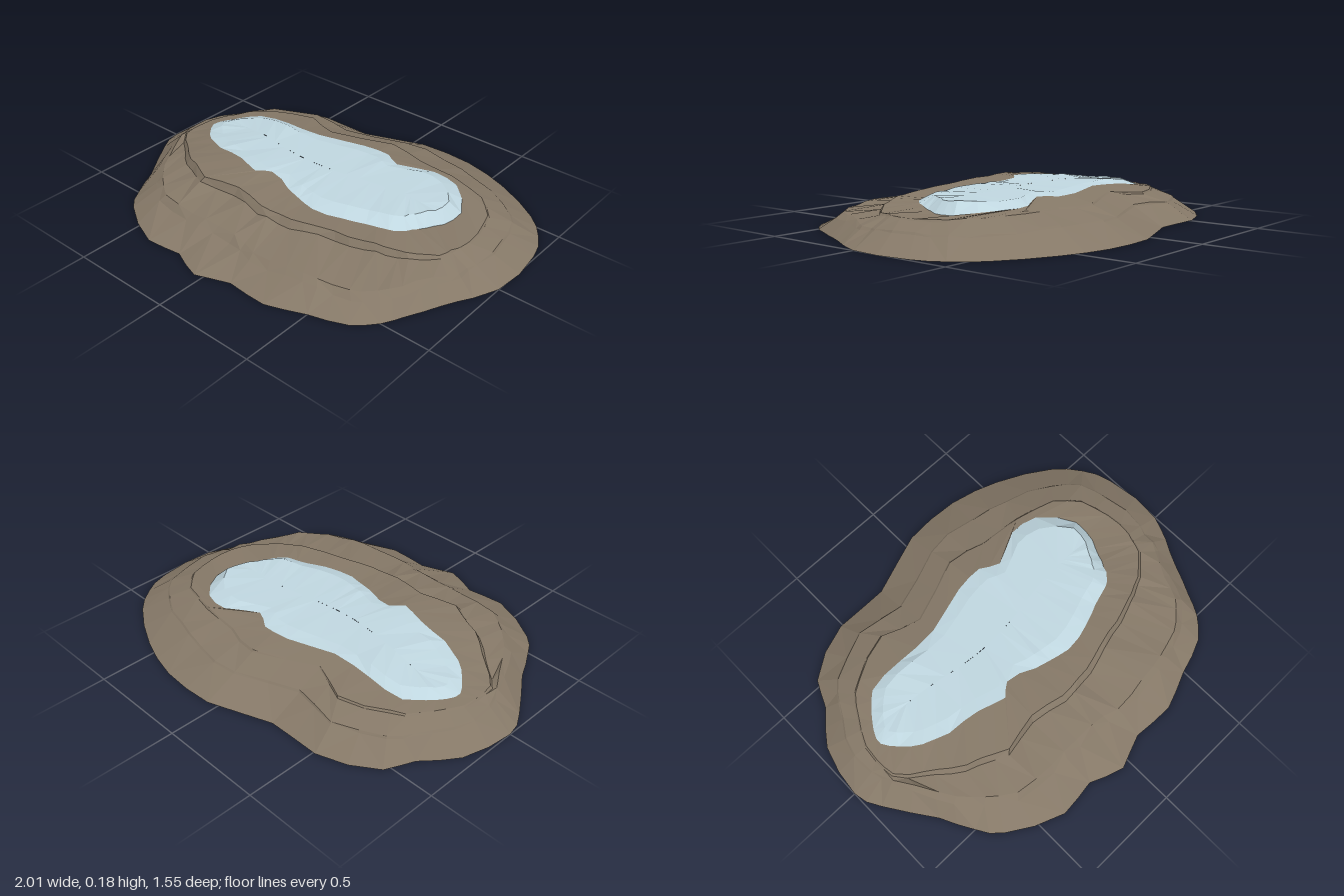
import * as THREE from 'three';

const N = 56; // samples around every contour

// Contours run from the model's left (+x) through the front (+z) and round; each point is [x, y, z].
const base = [
  [1, 0, 0], [.95, 0, .12], [.88, 0, .25], [.81, 0, .4], [.76, 0, .5], [.67, 0, .59], [.5, 0, .65],
  [.32, 0, .72], [.12, 0, .71], [-.04, 0, .77], [-.2, 0, .71], [-.38, 0, .73], [-.64, 0, .6], [-.72, 0, .5],
  [-.8, 0, .35], [-.95, 0, .13], [-1, 0, 0], [-.95, 0, -.25], [-.83, 0, -.4], [-.77, 0, -.53], [-.51, 0, -.66],
  [-.25, 0, -.66], [.05, 0, -.77], [.33, 0, -.77], [.57, 0, -.7], [.82, 0, -.56], [.93, 0, -.44], [.99, 0, -.3],
];
const terrace = [
  [.88, .07, 0], [.86, .07, .1], [.8, .08, .2], [.74, .08, .33], [.68, .08, .42], [.59, .08, .49], [.45, .09, .53],
  [.3, .09, .55], [.12, .085, .57], [-.02, .1, .54], [-.2, .1, .54], [-.38, .1, .54], [-.55, .1, .48], [-.64, .1, .4],
  [-.73, .1, .28], [-.84, .1, .1], [-.88, .085, 0], [-.86, .08, -.2], [-.77, .08, -.35], [-.7, .08, -.44], [-.48, .08, -.54],
  [-.25, .09, -.5], [.05, .08, -.61], [.3, .08, -.6], [.5, .085, -.55], [.72, .08, -.46], [.83, .08, -.36], [.87, .08, -.22],
];
const crest = [
  [.79, .115, 0], [.77, .115, .06], [.72, .12, .13], [.65, .13, .19], [.56, .14, .23], [.47, .145, .26], [.34, .15, .29],
  [.2, .15, .33], [.08, .15, .35], [-.03, .155, .36], [-.2, .165, .33], [-.38, .165, .37], [-.5, .16, .31], [-.62, .145, .25],
  [-.72, .125, .17], [-.82, .11, .08], [-.83, .11, -.02], [-.79, .115, -.17], [-.73, .12, -.27], [-.64, .125, -.35], [-.42, .125, -.44],
  [-.24, .14, -.37], [.06, .13, -.49], [.25, .13, -.45], [.45, .135, -.43], [.65, .125, -.38], [.75, .12, -.28], [.79, .115, -.14],
];
const iceEdge = [
  [.64, .115, -.1], [.6, .12, -.02], [.57, .13, .04], [.54, .135, .09], [.5, .14, .12], [.4, .14, .15], [.3, .145, .19],
  [.15, .145, .22], [.05, .15, .2], [-.03, .155, .18], [-.17, .172, .14], [-.23, .177, .19], [-.36, .176, .15], [-.52, .16, .13],
  [-.64, .145, .08], [-.72, .13, .01], [-.77, .12, -.06], [-.75, .12, -.13], [-.7, .125, -.2], [-.63, .13, -.27], [-.45, .15, -.28],
  [-.24, .16, -.28], [-.01, .155, -.35], [.13, .155, -.36], [.22, .16, -.31], [.38, .145, -.39], [.52, .14, -.37], [.65, .12, -.22],
];

// Repeatable value in -1..1
function rng(seed) {
  let s = seed;
  return () => {
    s = (s * 16807) % 2147483647;
    return (s / 2147483647) * 2 - 1;
  };
}

// Resample a contour and roughen it slightly
function contour(points, seed, rough) {
  const rand = rng(seed);
  const curve = new THREE.CatmullRomCurve3(points.map(p => new THREE.Vector3(...p)), true);
  return Array.from({ length: N }, (_, i) => {
    const p = curve.getPoint(i / N);
    if (i % 2) {
      p.x += rand() * rough;
      p.z += rand() * rough;
      p.y += p.y > 0.01 ? rand() * rough * 0.5 : 0;
    }
    return p;
  });
}

// Lower, slightly wider copy of a contour: the foot of a rock step, tallest at the front
function stepFoot(ring, drop, spread, seed) {
  const rand = rng(seed);
  return ring.map(p => {
    const front = THREE.MathUtils.smoothstep(p.z, 0, 0.3);
    const d = (0.008 + drop * front) * (1 + 0.35 * rand());
    const out = 0.008 + spread * front;
    const len = Math.hypot(p.x, p.z);
    return new THREE.Vector3(p.x * (1 + out / len), p.y - d, p.z * (1 + out / len));
  });
}

// Skin a list of contours, outermost first
function skin(rings) {
  const position = [];
  const index = [];
  rings.forEach(r => r.forEach(p => position.push(p.x, p.y, p.z)));
  for (let r = 0; r < rings.length - 1; r++) {
    for (let i = 0; i < N; i++) {
      const j = (i + 1) % N;
      const a = r * N + i, b = r * N + j, c = a + N, d = b + N;
      if ((i + r) % 2) index.push(a, c, b, b, c, d);
      else index.push(a, c, d, a, d, b);
    }
  }
  const g = new THREE.BufferGeometry();
  g.setAttribute('position', new THREE.Float32BufferAttribute(position, 3));
  g.setIndex(index);
  const flat = g.toNonIndexed();
  flat.computeVertexNormals();
  return flat;
}

function material(name, color) {
  return new THREE.MeshStandardMaterial({ name, color, flatShading: true, side: THREE.DoubleSide });
}

export function createModel() {
  const group = new THREE.Group();
  group.name = 'icyRockMound';

  const baseRing = contour(base, 11, 0.004);
  const terraceRing = contour(terrace, 23, 0.012);
  const crestRing = contour(crest, 37, 0.008);
  const edgeRing = contour(iceEdge, 41, 0.004);

  // Rock shell, open underneath, with two ledges on its front
  const rock = new THREE.Mesh(skin([
    baseRing,
    stepFoot(terraceRing, 0.018, 0.025, 5),
    terraceRing,
    stepFoot(crestRing, 0.024, 0.015, 7),
    crestRing,
    edgeRing,
  ]), material('brownRock', 0x857867));
  rock.name = 'rockMound';

  // Ice cap: bevelled rim, nearly flat top closing on a spine
  const rand = rng(97);
  const spineZ = x => -0.08 - 0.03 * Math.cos(x * 5 - 2.5);
  const shoulder = edgeRing.map(p => {
    const z0 = spineZ(p.x);
    const y = 0.17 - 0.1 * Math.max(0, -p.x - 0.5) + rand() * 0.004;
    return new THREE.Vector3(p.x * 0.92, Math.max(y, p.y), z0 + (p.z - z0) * 0.76);
  });
  const spine = shoulder.map(p =>
    new THREE.Vector3(p.x * 0.85, 0.17 - 0.1 * Math.max(0, -p.x - 0.5), spineZ(p.x)));
  const ice = new THREE.Mesh(skin([edgeRing, shoulder, spine]), material('paleIce', 0xbfd6df));
  ice.name = 'iceCap';

  group.add(rock, ice);
  return group;
}
